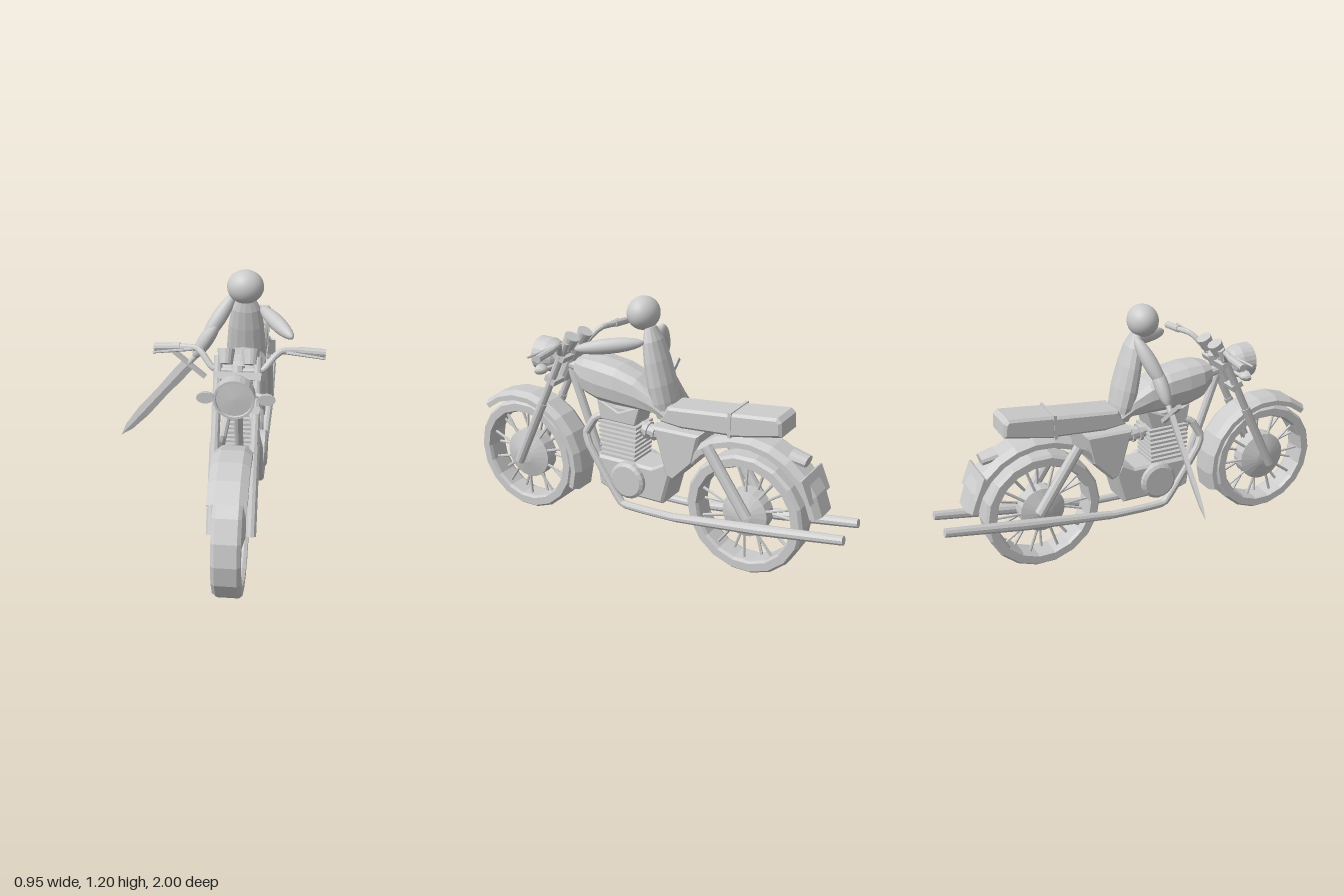
import * as THREE from 'three';

const flat = new THREE.MeshStandardMaterial({ color: 0xcccccc, flatShading: true, side: THREE.DoubleSide });
const smooth = new THREE.MeshStandardMaterial({ color: 0xcccccc });
const V = (x, y, z) => new THREE.Vector3(x, y, z);
const UP = V(0, 1, 0);

function add(parent, name, geo, pos = [0, 0, 0], mat = flat) {
  const m = new THREE.Mesh(geo, mat);
  m.name = name;
  m.position.set(...pos);
  parent.add(m);
  return m;
}

// Straight rod between two points
function rod(parent, name, a, b, r1, r2 = r1, sides = 10) {
  const A = V(...a), d = V(...b).sub(A);
  const m = add(parent, name, new THREE.CylinderGeometry(r2, r1, d.length(), sides));
  m.position.copy(A).addScaledVector(d, 0.5);
  m.quaternion.setFromUnitVectors(UP, d.normalize());
  return m;
}

// Rounded limb stretched between two points
function limb(parent, name, a, b, r) {
  const A = V(...a), d = V(...b).sub(A);
  const m = add(parent, name, new THREE.SphereGeometry(1, 14, 12), [0, 0, 0], smooth);
  m.scale.set(r, d.length() / 2, r);
  m.position.copy(A).addScaledVector(d, 0.5);
  m.quaternion.setFromUnitVectors(UP, d.normalize());
  return m;
}

// Bent tube through corner points with rounded bends
function tube(parent, name, pts, r, segs = 30) {
  const c = new THREE.CatmullRomCurve3(pts.map(p => V(...p)), false, 'catmullrom', 0.15);
  return add(parent, name, new THREE.TubeGeometry(c, segs, r, 10));
}

// Turned part about the x axis; points are [radius, x]
function turnX(pts, segs, start = 0, len = Math.PI * 2) {
  return new THREE.LatheGeometry(pts.map(p => new THREE.Vector2(p[0], p[1])), segs, start, len).rotateZ(Math.PI / 2);
}

// Side outline [z, y] extruded across the width
function slab(parent, name, pts, w, x = 0, bevel = 0.012) {
  const s = new THREE.Shape(pts.map(p => new THREE.Vector2(p[0], p[1])));
  const g = new THREE.ExtrudeGeometry(s, {
    depth: w - 2 * bevel, bevelEnabled: bevel > 0, bevelThickness: bevel, bevelSize: bevel, bevelOffset: -bevel, bevelSegments: 1,
  });
  g.translate(0, 0, -(w / 2 - bevel)).rotateY(-Math.PI / 2);
  return add(parent, name, g, [x, 0, 0]);
}

// Skin over rounded sections [z, bottom, top, halfWidth]
function loft(sections, n = 12) {
  const pos = [], idx = [];
  const soft = v => Math.sign(v) * Math.abs(v) ** 0.7;
  for (const [z, lo, hi, w] of sections)
    for (let i = 0; i < n; i++) {
      const a = (i / n) * Math.PI * 2;
      pos.push(w * soft(Math.cos(a)), (lo + hi) / 2 + (hi - lo) / 2 * soft(Math.sin(a)), z);
    }
  const last = (sections.length - 1) * n;
  for (let s = 0; s < last; s += n)
    for (let i = 0; i < n; i++) {
      const a = s + i, b = s + (i + 1) % n;
      idx.push(a, a + n, b, b, a + n, b + n);
    }
  for (let i = 1; i < n - 1; i++) idx.push(0, i, i + 1, last, last + i + 1, last + i);
  const g = new THREE.BufferGeometry();
  g.setAttribute('position', new THREE.Float32BufferAttribute(pos, 3));
  g.setIndex(idx);
  g.computeVertexNormals();
  return g;
}

function wheel(parent, name, y, z, R, hubR) {
  const g = new THREE.Group();
  g.name = name;
  g.position.set(0, y, z);
  parent.add(g);
  add(g, 'tyre', turnX([[R - 0.058, -0.045], [R - 0.05, -0.06], [R - 0.012, -0.06], [R, -0.045], [R, 0.045],
    [R - 0.012, 0.06], [R - 0.05, 0.06], [R - 0.058, 0.045], [R - 0.058, -0.045]], 18));
  add(g, 'hub', turnX([[0, -0.065], [0.04, -0.06], [hubR, -0.035], [hubR, 0.035], [0.04, 0.06], [0, 0.065]], 20));
  for (let i = 0; i < 20; i++) {
    const a = (i / 20) * Math.PI * 2, x = i % 2 ? 0.03 : -0.03, c = Math.cos(a), s = Math.sin(a);
    rod(g, 'spoke', [x, s * 0.08, c * 0.08], [x * 0.6, s * (R - 0.05), c * (R - 0.05)], 0.007, 0.007, 6);
  }
}

// Mudguard arc with folded sides
function fender(parent, name, y, z, r, w, from, to) {
  const d = Math.PI / 180;
  add(parent, name, turnX([[r - 0.045, -w], [r - 0.02, -w], [r, -w * 0.6], [r, w * 0.6], [r - 0.02, w], [r - 0.045, w]],
    9, from * d, (to - from) * d), [0, y, z]);
}

function buildBike() {
  const b = new THREE.Group();
  b.name = 'motorcycle';
  wheel(b, 'frontWheel', 0.3, 0.713, 0.287, 0.125);
  wheel(b, 'rearWheel', 0.287, -0.51, 0.287, 0.11);
  fender(b, 'frontFender', 0.3, 0.713, 0.345, 0.08, 48, 199);
  fender(b, 'rearFender', 0.3, -0.52, 0.37, 0.085, 35, 168);

  // Engine
  slab(b, 'crankcase', [[0.26, 0.42], [0.24, 0.27], [0.18, 0.25], [-0.11, 0.25], [-0.15, 0.4], [-0.12, 0.46], [-0.05, 0.42]], 0.17);
  for (const s of [-1, 1])
    add(b, 'engineCover', turnX([[0, -0.02], [0.09, -0.02], [0.09, 0.01], [0.075, 0.02], [0, 0.02]].map(p => [p[0], -s * p[1]]), 20),
      [s * 0.095, 0.335, 0.07]);
  add(b, 'cylinderBlock', new THREE.BoxGeometry(0.1, 0.27, 0.15), [0, 0.53, 0.14]);
  for (let i = 0; i < 8; i++)
    add(b, 'coolingFin', new THREE.BoxGeometry(0.15, 0.012, 0.19 + i * 0.003), [0, 0.43 + i * 0.023, 0.14]);
  slab(b, 'cylinderHead', [[0.26, 0.7], [0.24, 0.6], [0.05, 0.6], [0.02, 0.7], [0.14, 0.65]], 0.13, 0, 0.005);
  rod(b, 'carburettor', [0, 0.575, 0.06], [0, 0.56, -0.1], 0.032);
  for (const z of [0.02, -0.02, -0.06]) rod(b, 'carburettorRing', [0, 0.57, z], [0, 0.568, z - 0.014], 0.043);

  // Body
  add(b, 'fuelTank', loft([[0.4, 0.81, 0.84, 0.03], [0.375, 0.77, 0.875, 0.08], [0.32, 0.71, 0.89, 0.105], [0.24, 0.685, 0.89, 0.112],
    [0.14, 0.68, 0.875, 0.11], [0.04, 0.68, 0.84, 0.1], [-0.05, 0.68, 0.78, 0.09], [-0.12, 0.66, 0.71, 0.08]]));
  slab(b, 'seat', [[-0.09, 0.66], [-0.13, 0.735], [-0.45, 0.765], [-0.45, 0.665], [-0.2, 0.648]], 0.165);
  slab(b, 'seatRear', [[-0.445, 0.66], [-0.445, 0.77], [-0.665, 0.793], [-0.685, 0.775], [-0.69, 0.71]], 0.17);
  slab(b, 'seatStrap', [[-0.44, 0.66], [-0.44, 0.775], [-0.455, 0.776], [-0.455, 0.66]], 0.175, 0, 0);
  slab(b, 'sidePanels', [[-0.06, 0.63], [-0.3, 0.635], [-0.27, 0.49], [-0.17, 0.385], [-0.13, 0.4]], 0.18);

  // Frame
  rod(b, 'backbone', [0, 0.82, 0.45], [0, 0.7, -0.1], 0.025);
  rod(b, 'downTube', [0, 0.84, 0.46], [0, 0.27, 0.25], 0.02);
  rod(b, 'headTube', [0, 0.74, 0.5], [0, 0.91, 0.42], 0.03);

  // Headlight and instruments
  const lamp = new THREE.LatheGeometry([[0, 0], [0.04, 0.008], [0.07, 0.035], [0.083, 0.07], [0.085, 0.135],
    [0.076, 0.135], [0.074, 0.125], [0, 0.13]].map(p => new THREE.Vector2(...p)), 24).rotateX(Math.PI / 2);
  add(b, 'headlight', lamp, [0, 0.845, 0.485]);

  // Handlebar
  const half = [[0.07, 0.895, 0.435], [0.11, 0.905, 0.43], [0.15, 0.95, 0.4], [0.18, 0.968, 0.38], [0.25, 0.965, 0.365], [0.36, 0.957, 0.36]];
  tube(b, 'handlebar', [...half.map(p => [-p[0], p[1], p[2]]).reverse(), ...half], 0.014, 60);

  // Mirrored parts
  for (const s of [-1, 1]) {
    rod(b, 'frontFork', [s * 0.083, 0.275, 0.73], [s * 0.083, 0.62, 0.565], 0.023);
    rod(b, 'forkStanchion', [s * 0.083, 0.6, 0.575], [s * 0.083, 0.95, 0.41], 0.019);
    rod(b, 'grip', [s * 0.25, 0.965, 0.365], [s * 0.362, 0.957, 0.36], 0.018);
    rod(b, 'lever', [s * 0.2, 0.965, 0.39], [s * 0.36, 0.955, 0.415], 0.007, 0.005, 6);
    rod(b, 'gauge', [s * 0.052, 0.92, 0.425], [s * 0.052, 0.975, 0.395], 0.03, 0.037, 16);
    rod(b, 'indicatorStalk', [s * 0.06, 0.82, 0.49], [s * 0.125, 0.812, 0.515], 0.01);
    const ind = add(b, 'indicator', new THREE.SphereGeometry(1, 14, 8, 0, Math.PI * 2, 0, Math.PI / 2).rotateX(-Math.PI / 2), [s * 0.127, 0.812, 0.54]);
    ind.scale.set(0.037, 0.025, 0.045);
    const lens = add(b, 'indicatorLens', new THREE.CircleGeometry(1, 14), [s * 0.127, 0.812, 0.54]);
    lens.scale.set(0.037, 0.025, 1);
    rod(b, 'shockAbsorber', [s * 0.09, 0.6, -0.34], [s * 0.09, 0.3, -0.545], 0.026);
    tube(b, 'exhaustPipe', [[s * 0.04, 0.62, 0.22], [s * 0.06, 0.6, 0.27], [s * 0.075, 0.52, 0.315], [s * 0.085, 0.46, 0.29],
      [s * 0.085, 0.2, 0.11], [s * 0.085, 0.2, -0.2]], 0.019, 40);
    rod(b, 'muffler', [s * 0.085, 0.2, -0.18], [s * 0.088, 0.26, -0.62], 0.02, 0.026);
    rod(b, 'mufflerEnd', [s * 0.088, 0.26, -0.62], [s * 0.088, 0.317, -0.996], 0.026, 0.021);
  }
  for (const [y, z] of [[0.75, 0.505], [0.875, 0.445]])
    add(b, 'forkClamp', new THREE.BoxGeometry(0.2, 0.03, 0.06), [0, y, z]).rotation.x = -0.44;

  // Tail
  rod(b, 'tailLight', [0, 0.61, -0.71], [0, 0.595, -0.785], 0.05, 0.042, 12).scale.z = 0.6;
  add(b, 'numberPlate', new THREE.BoxGeometry(0.22, 0.115, 0.012), [0, 0.495, -0.82]).rotation.x = 0.4;
  return b;
}

function buildRider() {
  const r = new THREE.Group();
  r.name = 'rider';
  const torso = new THREE.LatheGeometry([[0, 0], [0.8, 0.01], [0.95, 0.08], [1, 0.16], [0.9, 0.27], [0.72, 0.36], [0.4, 0.42], [0, 0.435]]
    .map(p => new THREE.Vector2(p[0], p[1])), 14);
  torso.scale(0.092, 1, 0.058);
  add(r, 'torso', torso, [0.11, 0.66, -0.1]).rotation.x = 0.24;
  add(r, 'head', new THREE.SphereGeometry(1, 28, 20), [0.11, 1.128, 0.035], smooth).scale.set(0.083, 0.076, 0.073);
  limb(r, 'leftArm', [0.18, 1.015, -0.01], [0.33, 0.98, 0.26], 0.035);
  limb(r, 'rightUpperArm', [0.055, 1.07, -0.03], [-0.08, 0.86, 0.05], 0.036);
  limb(r, 'rightForearm', [-0.01, 0.96, 0.03], [-0.125, 0.78, 0.05], 0.034);
  return r;
}

function buildSword() {
  const s = new THREE.Group();
  s.name = 'sword';
  const blade = new THREE.LatheGeometry([[0, 0], [0.032, 0], [0.032, 0.08], [0.028, 0.2], [0.03, 0.34], [0.02, 0.45], [0, 0.512]]
    .map(p => new THREE.Vector2(p[0], p[1])), 4);
  add(s, 'blade', blade.scale(1, 1, 0.28));
  add(s, 'guard', new THREE.BoxGeometry(0.2, 0.02, 0.02));
  rod(s, 'hilt', [0, 0, 0], [0, -0.14, 0], 0.013);
  s.position.set(-0.148, 0.753, 0.05);
  s.rotation.z = 2.434;
  return s;
}

export function createModel() {
  const g = new THREE.Group();
  const bike = buildBike();
  bike.position.x = 0.11;
  g.add(bike, buildRider(), buildSword());
  return g;
}
